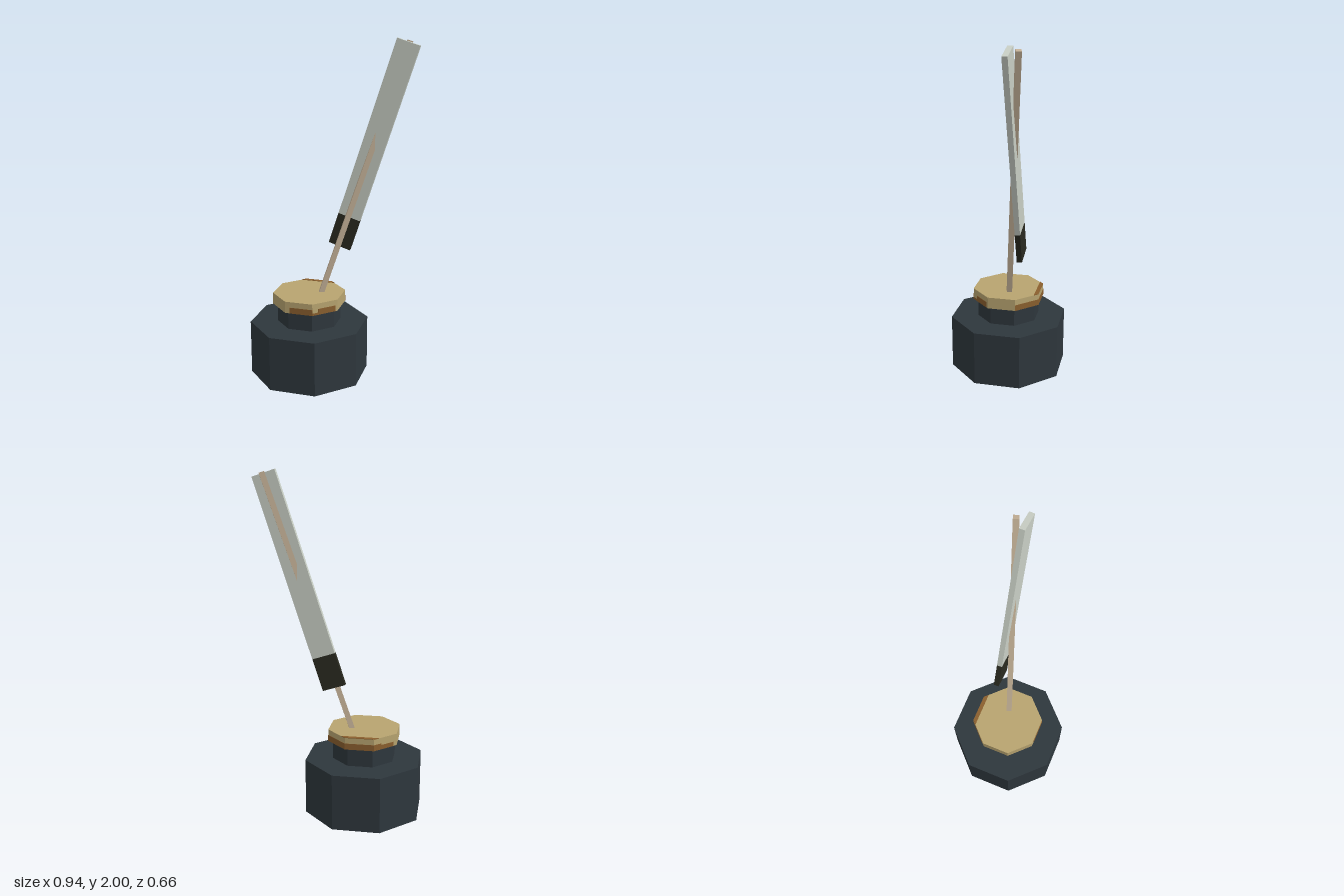
import * as THREE from 'three';

const mat = (name, color) => {
  const m = new THREE.MeshStandardMaterial({ color });
  m.name = name;
  return m;
};

export function createModel() {
  const model = new THREE.Group();
  model.name = 'inkBottleWithQuill';
  const glass = mat('dark glass', 0x2e373d);
  const cork = mat('cork tan', 0xb8a470);
  const stain = mat('brown stain', 0x8a5f2e);
  const vane = mat('pale feather', 0xc9cfc5);
  const ink = mat('inked black', 0x2a2a20);
  const shaftMat = mat('quill shaft', 0xc4b197);

  const add = (parent, name, geometry, material, x = 0, y = 0, z = 0) => {
    const mesh = new THREE.Mesh(geometry, material);
    mesh.name = name;
    mesh.position.set(x, y, z);
    parent.add(mesh);
    return mesh;
  };

  // Octagonal prism with flat sides facing the axes
  const octagon = (apothem, height) => {
    const r = apothem / Math.cos(Math.PI / 8);
    return new THREE.CylinderGeometry(r, r, height, 8).rotateY(Math.PI / 8).toNonIndexed();
  };
  const prism = (parent, name, apothem, y0, y1, material) => {
    const g = octagon(apothem, y1 - y0);
    g.computeVertexNormals();
    return add(parent, name, g, material, 0, (y0 + y1) / 2, 0);
  };

  // Bottle
  const bottle = new THREE.Group();
  bottle.name = 'bottle';
  bottle.position.x = -0.145;
  model.add(bottle);
  prism(bottle, 'base', 0.33, 0, 0.33, glass);
  prism(bottle, 'neck', 0.177, 0.33, 0.445, glass);
  prism(bottle, 'stopper', 0.202, 0.44, 0.51, cork);

  // Stains on the lower stopper sides: [face number, left, right, height]
  const stains = [
    [0, -0.055, 0.084, 0.036],
    [1, -0.084, -0.045, 0.014], [1, -0.045, 0.07, 0.036],
    [3, -0.084, 0.084, 0.036], [4, -0.084, 0.084, 0.036],
    [5, -0.084, -0.03, 0.036], [5, -0.03, 0.06, 0.026],
  ];
  for (const [face, left, right, height] of stains) {
    const side = new THREE.Group();
    side.name = 'stopperStain';
    side.rotation.y = face * Math.PI / 4;
    bottle.add(side);
    add(side, 'stainPlate', new THREE.BoxGeometry(right - left, height, 0.003), stain,
      (left + right) / 2, 0.44 + height / 2, 0.202);
  }

  // Stain along the back edge of the stopper top
  const edge = new THREE.Shape([
    new THREE.Vector2(-0.084, 0.202), new THREE.Vector2(-0.108, 0.178),
    new THREE.Vector2(0.108, 0.178), new THREE.Vector2(0.084, 0.202),
  ]);
  const edgeGeo = new THREE.ExtrudeGeometry(edge, { depth: 0.003, bevelEnabled: false });
  add(bottle, 'topStain', edgeGeo.rotateX(-Math.PI / 2), stain, 0, 0.509, 0);

  // Feather with inked lower end, leaning to +x
  const feather = new THREE.Group();
  feather.name = 'feather';
  feather.position.set(0.015, 0.78, -0.112);
  feather.rotation.z = -Math.atan2(0.39, 1.2);
  model.add(feather);
  add(feather, 'inkedEnd', new THREE.BoxGeometry(0.136, 0.195, 0.031), ink, 0, 0.0975, 0);
  add(feather, 'vane', new THREE.BoxGeometry(0.136, 1.067, 0.031), vane, 0, 0.7285, 0);

  // Square shaft crossing through the feather
  const lower = new THREE.Vector3(-0.088, 0.46, -0.015);
  const upper = new THREE.Vector3(0.402, 1.985, -0.167);
  const d = upper.clone().sub(lower);
  const shaft = add(model, 'shaft', new THREE.BoxGeometry(0.031, d.length(), 0.031), shaftMat);
  shaft.position.copy(lower).add(upper).multiplyScalar(0.5);
  shaft.rotation.order = 'YXZ';
  shaft.rotation.y = Math.atan2(-d.z, d.x);
  shaft.rotation.z = -Math.atan2(Math.hypot(d.x, d.z), d.y);

  return model;
}
